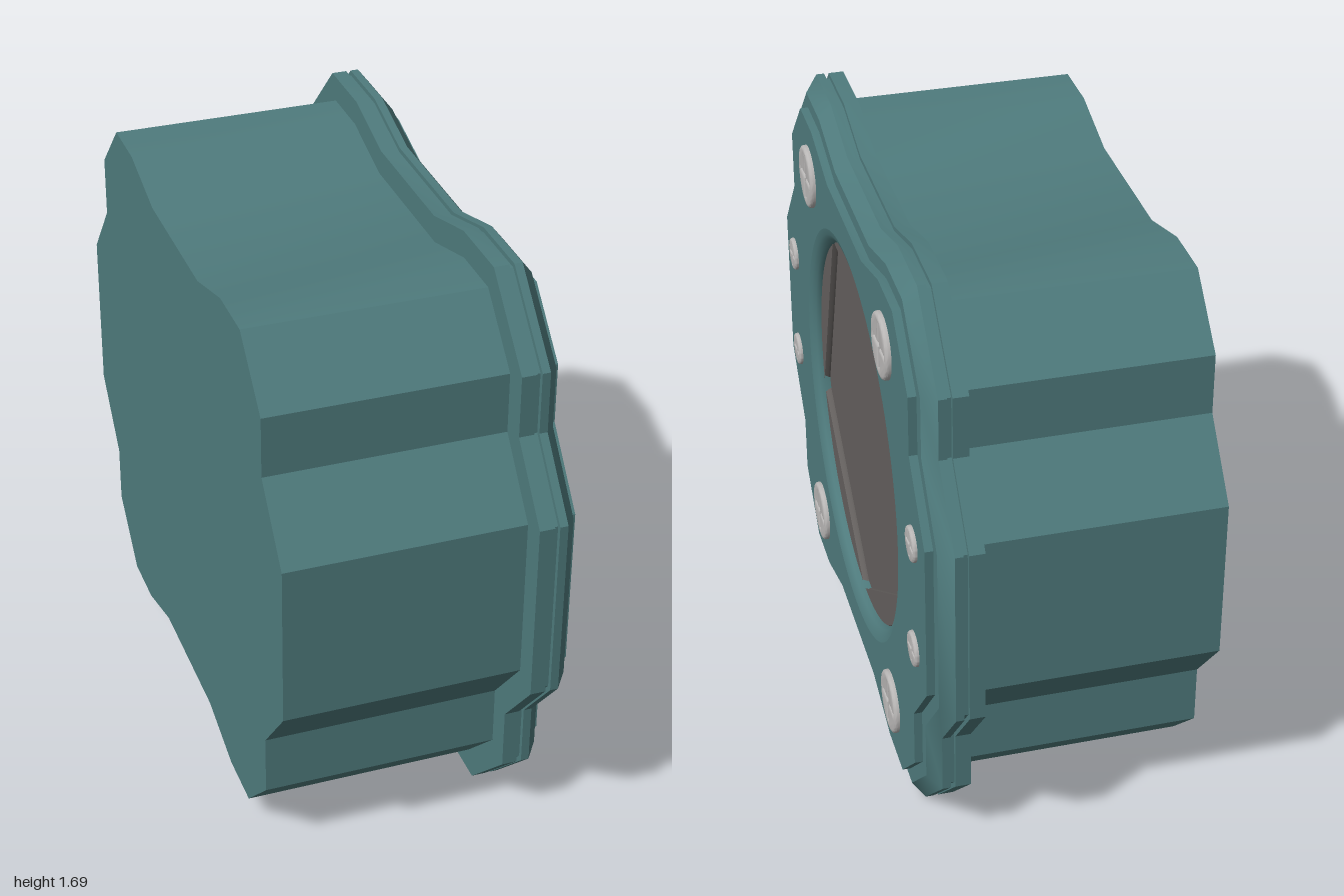
import * as THREE from 'three';
import { toCreasedNormals } from 'three/addons/utils/BufferGeometryUtils.js';

const CREASE = 0.5;
const HOLE_R = 0.6, IRIS_R = 0.557, FACE = 0.395;

const teal = new THREE.MeshStandardMaterial({ color: 0x4f7b7d });
const tealOpen = new THREE.MeshStandardMaterial({ color: 0x4f7b7d, side: THREE.DoubleSide });
const brown = new THREE.MeshStandardMaterial({ color: 0x64605e });
const steel = new THREE.MeshStandardMaterial({ color: 0xb8b6b5 });

// Housing outline, counter-clockwise, moved inwards by a mitred inset
function outline(inset) {
  const q = [[1, 0.265], [0.84, 0.455], [0.84, 0.635], [0.63, 0.845], [0.42, 0.845], [0.21, 0.785]];
  const half = [...q, ...q.map(([x, y]) => [-x, y]).reverse()];
  const pts = [...half, ...half.map(([x, y]) => [-x, -y])].map(([x, y]) => new THREE.Vector2(x, y));
  const n = pts.length;
  const inward = (a, b) => new THREE.Vector2(a.y - b.y, b.x - a.x).normalize();
  return pts.map((p, i) => {
    const n1 = inward(pts[(i + n - 1) % n], p);
    const n2 = inward(p, pts[(i + 1) % n]);
    return p.clone().addScaledVector(n1.clone().add(n2), inset / (1 + n1.dot(n2)));
  });
}

// Skin through outlines given as [depth, inset]
function loft(profile) {
  const pos = [], idx = [];
  const rings = profile.map(([, inset]) => outline(inset));
  const n = rings[0].length;
  rings.forEach((ring, i) => ring.forEach((p) => pos.push(p.x, p.y, profile[i][0])));
  for (let i = 0; i < rings.length - 1; i++) {
    for (let j = 0; j < n; j++) {
      const a = i * n + j, b = i * n + (j + 1) % n;
      idx.push(a, b, b + n, a, b + n, a + n);
    }
  }
  const g = new THREE.BufferGeometry();
  g.setAttribute('position', new THREE.Float32BufferAttribute(pos, 3));
  g.setIndex(idx);
  return toCreasedNormals(g, CREASE);
}

function addMesh(parent, name, geometry, material) {
  const m = new THREE.Mesh(geometry, material);
  m.name = name;
  parent.add(m);
  return m;
}

// Round screw head with a cross-shaped slot
function makeScrew(r, top) {
  const screw = new THREE.Group();
  const bevel = r * 0.12;
  const head = new THREE.Shape().absarc(0, 0, r - bevel, 0, Math.PI * 2);
  const l = r * 0.84, w = r * 0.17;
  const cross = [[l, -w], [l, w], [w, w], [w, l], [-w, l], [-w, w],
    [-l, w], [-l, -w], [-w, -w], [-w, -l], [w, -l], [w, -w]];
  head.holes.push(new THREE.Path(cross.map(([x, y]) => new THREE.Vector2(x, y))));
  const thick = 0.008;
  const g = new THREE.ExtrudeGeometry(head, {
    depth: top - FACE - thick + 0.02, bevelThickness: thick, bevelSize: bevel, bevelSegments: 3, curveSegments: 24,
  });
  g.translate(0, 0, FACE - 0.02);
  addMesh(screw, 'screwHead', toCreasedNormals(g, 0.7), steel);
  const floor = addMesh(screw, 'screwSlotFloor', new THREE.CircleGeometry(r * 0.9, 32), steel);
  floor.position.z = FACE + 0.002;
  return screw;
}

export function createModel() {
  const model = new THREE.Group();
  model.name = 'irisHousing';
  // Parts are built facing +z, then turned to face +x
  const unit = new THREE.Group();
  unit.name = 'housing';
  unit.rotation.y = Math.PI / 2;
  unit.position.y = 0.845;
  model.add(unit);

  // Rear body
  const bodyGeo = new THREE.ExtrudeGeometry(new THREE.Shape(outline(0.075)), { depth: 0.7, bevelEnabled: false });
  bodyGeo.translate(0, 0, -0.415);
  addMesh(unit, 'body', toCreasedNormals(bodyGeo, CREASE), teal);

  // Front flange with a groove round its edge, a chamfer and a raised plate
  addMesh(unit, 'flange', loft([
    [0.257, 0.08], [0.257, 0], [0.3, 0], [0.3, 0.014], [0.314, 0.014], [0.314, 0],
    [0.337, 0], [0.372, 0.045], [0.372, 0.085], [FACE, 0.085],
  ]), teal);

  const plate = new THREE.Shape(outline(0.085));
  plate.holes.push(new THREE.Path().absarc(0, 0, HOLE_R, 0, Math.PI * 2, true));
  addMesh(unit, 'facePlate', new THREE.ShapeGeometry(plate, 48), teal).position.z = FACE;

  // Rounded lip of the round opening
  const lip = [[HOLE_R, FACE], [0.582, 0.39], [0.566, 0.38], [IRIS_R, 0.366], [IRIS_R, 0.34]];
  const lipGeo = new THREE.LatheGeometry(lip.map(([x, y]) => new THREE.Vector2(x, y)), 96);
  lipGeo.rotateX(Math.PI / 2);
  addMesh(unit, 'openingLip', lipGeo, tealOpen);

  // Iris: five blades with bevelled seams over a backing disc
  const iris = new THREE.Group();
  iris.name = 'iris';
  unit.add(iris);
  addMesh(iris, 'irisBacking', new THREE.CircleGeometry(IRIS_R + 0.01, 64), brown).position.z = 0.348;
  const step = Math.PI * 2 / 5, gap = 0.006;
  const blade = new THREE.Shape();
  blade.moveTo(0, 0);
  blade.absarc(0, 0, IRIS_R + 0.01, gap, step - gap);
  blade.closePath();
  const bladeGeo = toCreasedNormals(new THREE.ExtrudeGeometry(blade, {
    depth: 0.01, bevelThickness: 0.014, bevelSize: 0.012, bevelOffset: -0.012, bevelSegments: 1, curveSegments: 24,
  }), 0.4);
  for (let i = 0; i < 5; i++) {
    const b = addMesh(iris, 'irisBlade', bladeGeo, brown);
    b.position.z = 0.342;
    b.rotation.z = THREE.MathUtils.degToRad(52) + i * step;
  }

  // Four large corner screws and four small side screws
  for (const sx of [-1, 1]) {
    for (const sy of [-1, 1]) {
      const big = makeScrew(0.092, 0.411);
      big.name = 'cornerScrew';
      big.position.set(sx * 0.485, sy * 0.594, 0);
      const small = makeScrew(0.05, 0.407);
      small.name = 'sideScrew';
      small.position.set(sx * 0.787, sy * 0.172, 0);
      unit.add(big, small);
    }
  }
  return model;
}
